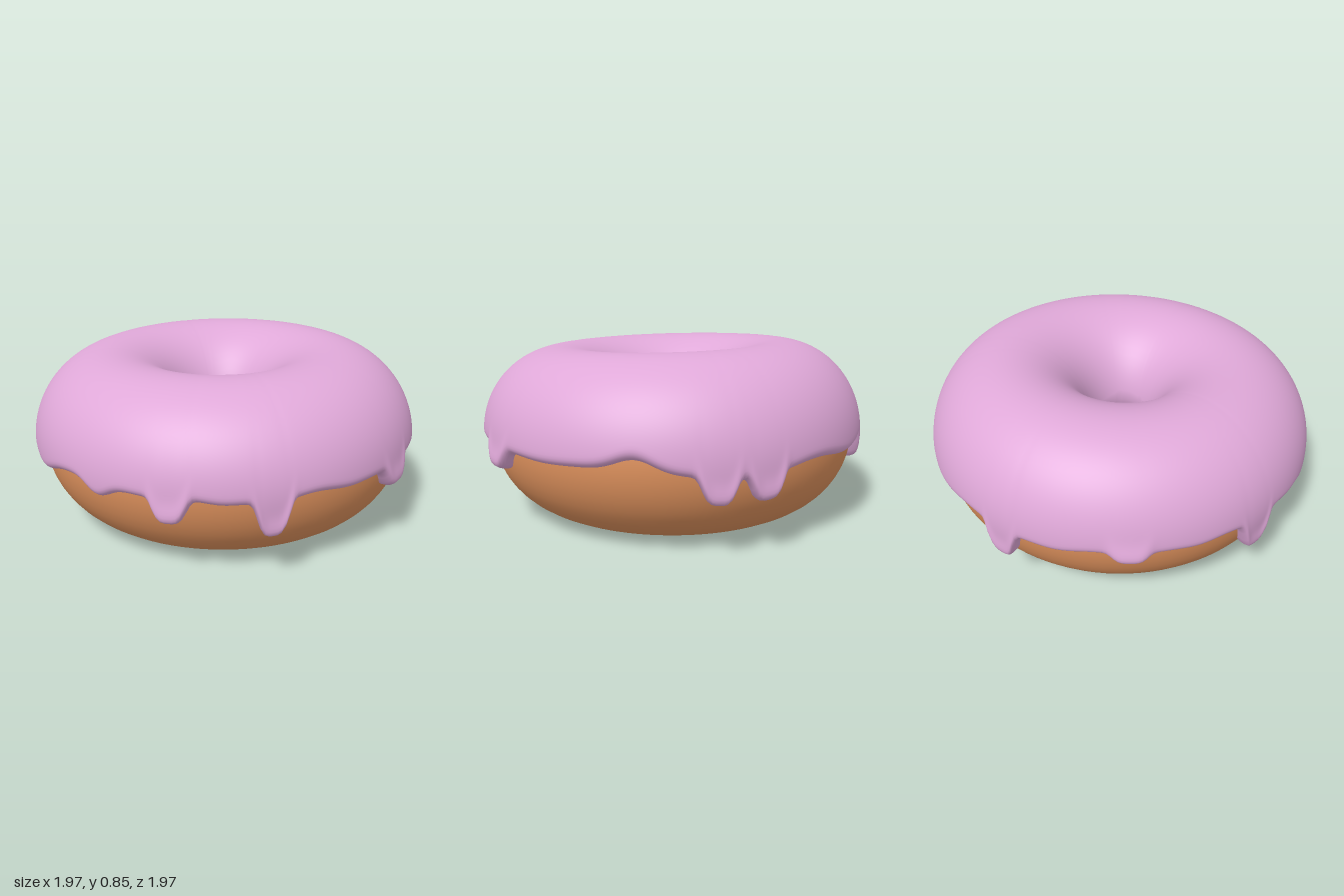
import * as THREE from 'three';

const RAD = Math.PI / 180;
// Icing drips and waves around the rim: [degrees from front towards +x, depth, half width, long drip?]
const DRIPS = [
  [-41.5, 0.165, 4.3, 1], [35, 0.115, 4.6, 1], [61, 0.165, 4.2, 1], [103, 0.1, 5.2, 1],
  [171, 0.125, 4.6, 1], [184, 0.115, 4.4, 1], [245, 0.16, 4.3, 1], [281, 0.045, 5, 1],
  [-14, 0.055, 9, 0], [14, 0.055, 5, 0], [-27, 0.02, 5, 0], [48, 0.02, 6, 0],
  [82, 0.012, 7, 0], [177, 0.02, 14, 0], [150, -0.055, 7, 0], [215, 0.02, 10, 0],
  [262, 0.02, 8, 0], [300, 0.02, 7, 0],
];

// Height of the icing's lower edge and how strongly a drip is present at an angle
function rim(theta) {
  let y = 0.395 + 0.005 * Math.sin(theta * 11), drip = 0;
  for (const [deg, depth, width, long] of DRIPS) {
    let d = theta / RAD - deg;
    d = Math.abs(d - 360 * Math.round(d / 360)) / width;
    if (long) {
      const core = Math.exp(-(d ** 4));
      y -= depth * (0.88 * core + 0.12 * Math.exp(-d * d / 4));
      drip = Math.max(drip, core);
    } else y -= depth * Math.exp(-d * d);
  }
  return { y, drip };
}

// Point on the ring at angle theta, around the section by phi, raised by h
function ringPoint(theta, phi, h) {
  const c = Math.cos(phi), s = Math.sin(phi);
  const r = 0.555 + (0.38 + h) * c;
  const inner = (1 - c) / 2;
  const lift = Math.max(0, s) * (-0.018 * Math.cos(theta) - 0.01 * Math.sin(theta));
  return [
    r * Math.sin(theta) - 0.01 * inner,
    0.4 + (0.4 + h) * s + lift,
    r * Math.cos(theta) + 0.004 + 0.01 * inner,
  ];
}

// Smooth grid that closes on itself in theta, and optionally in phi
function ringGeometry(nu, nv, closed, point) {
  const positions = [], index = [];
  const rows = closed ? nv : nv + 1;
  for (let i = 0; i < nu; i++) {
    for (let j = 0; j < rows; j++) positions.push(...point((i / nu) * Math.PI * 2, j / nv));
  }
  for (let i = 0; i < nu; i++) {
    for (let j = 0; j < nv; j++) {
      const k = (j + 1) % rows, n = (i + 1) % nu;
      const a = i * rows + j, b = n * rows + j, c = n * rows + k, d = i * rows + k;
      index.push(a, b, c, a, c, d);
    }
  }
  const g = new THREE.BufferGeometry();
  g.setAttribute('position', new THREE.Float32BufferAttribute(positions, 3));
  g.setIndex(index);
  g.computeVertexNormals();
  return g;
}

// Rounded rise of the icing from its edge
function edgeRise(distance, width) {
  const s = THREE.MathUtils.clamp(distance / width, 0, 1);
  return Math.sqrt(s * (2 - s));
}

function icingPoint(theta, v) {
  const { y, drip } = rim(theta);
  const start = Math.asin((y - 0.4) / 0.4);
  const end = Math.PI + 0.1 + 0.06 * Math.sin(3 * theta);
  const phi = start + (end - start) * v ** 1.8;
  const fromRim = (phi - start) * 0.4, fromHole = (end - phi) * 0.4;
  const thickness = 0.03 + 0.015 * Math.cos(phi)
    + 0.022 * drip * Math.exp(-(((fromRim - 0.04) / 0.05) ** 2));
  const h = -0.008 + (thickness + 0.008) * edgeRise(fromRim, 0.045) * edgeRise(fromHole, 0.06);
  return ringPoint(theta, phi, h);
}

export function createModel() {
  const group = new THREE.Group();
  group.name = 'donut';
  const add = (name, geometry, color, side) => {
    const mesh = new THREE.Mesh(geometry, new THREE.MeshStandardMaterial({ color, side }));
    mesh.name = name;
    group.add(mesh);
  };

  // Baked ring
  add('dough', ringGeometry(96, 48, true, (t, v) => ringPoint(t, v * Math.PI * 2, 0)),
    0xdc905c, THREE.FrontSide);
  // Glaze poured over the top, with drips
  add('icing', ringGeometry(360, 44, false, icingPoint), 0xdfa8d8, THREE.DoubleSide);

  return group;
}
